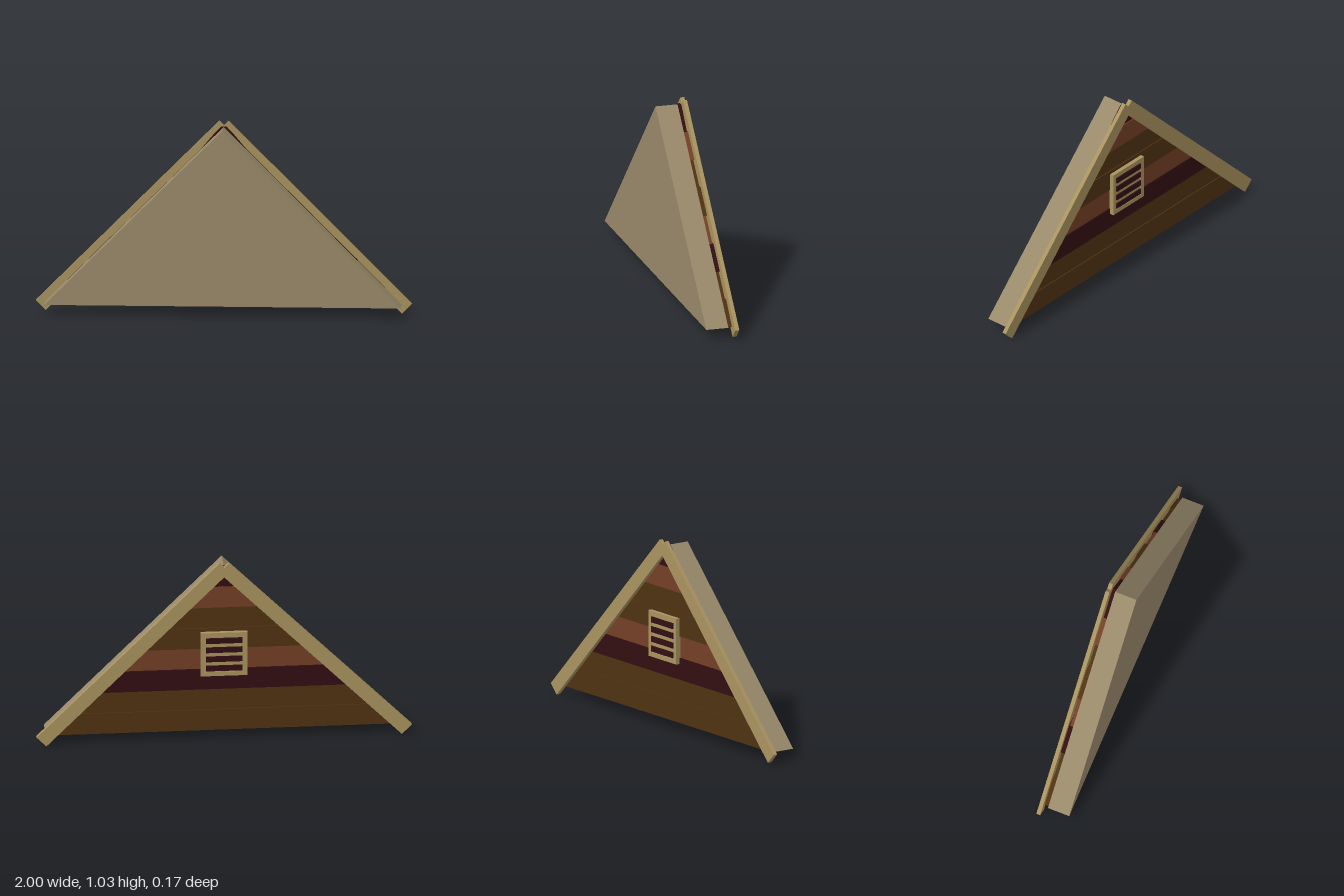
import * as THREE from 'three';

const mat = (name, color) => {
  const m = new THREE.MeshStandardMaterial({ color });
  m.name = name;
  return m;
};

export function createModel() {
  const group = new THREE.Group();
  const wallTan = mat('wall tan', 0x9a8a6b);
  const trimTan = mat('trim tan', 0xa9935f);
  const brown = mat('brown wood', 0x4f3212);
  const red = mat('red brown wood', 0x733f26);
  const dark = mat('dark plum wood', 0x320e12);

  // Extrudes an x/y outline between two z depths
  const slab = (name, points, zBack, zFront, material) => {
    const shape = new THREE.Shape(points.map(([x, y]) => new THREE.Vector2(x, y)));
    const geo = new THREE.ExtrudeGeometry(shape, { depth: zFront - zBack, bevelEnabled: false });
    geo.translate(0, 0, zBack);
    const mesh = new THREE.Mesh(geo, material);
    mesh.name = name;
    group.add(mesh);
  };
  const box = (name, w, h, y, zBack, zFront, material, x = 0) => {
    const mesh = new THREE.Mesh(new THREE.BoxGeometry(w, h, zFront - zBack), material);
    mesh.position.set(x, y, (zBack + zFront) / 2);
    mesh.name = name;
    group.add(mesh);
  };

  // Solid gable body
  const base = 0.053, apex = 1.0, half = 0.947;
  slab('gableBody', [[-half, base], [half, base], [0, apex]], -0.037, 0.085, wallTan);

  // Siding planks, alternately thick and thin, cut to the roof slope
  const colours = [brown, brown, dark, red, brown, brown, red, dark];
  const step = (apex - base) / colours.length;
  colours.forEach((material, i) => {
    const y0 = base + i * step, y1 = y0 + step;
    const w0 = Math.min(apex - y0, 0.935), w1 = apex - y1;
    const outline = i < colours.length - 1
      ? [[-w0, y0], [w0, y0], [w1, y1], [-w1, y1]]
      : [[-w0, y0], [w0, y0], [0.055, 0.957], [0.015, apex], [-0.015, apex], [-0.055, 0.957]];
    slab('sidingPlank', outline, i % 2 ? -0.054 : -0.06, -0.037, material);
  });

  // Sloping rake boards on both sides
  for (const s of [1, -1]) {
    slab('rakeBoard', [[s * 0.947, 0], [s, 0.053], [s * 0.025, 1.028], [s * -0.028, 0.975]],
      -0.082, -0.06, trimTan);
  }

  // Louvred vent: backing, raised border and four dark slats
  box('ventPanel', 0.23, 0.23, 0.5, -0.078, -0.05, trimTan);
  for (const s of [1, -1]) {
    box('ventFrameSide', 0.024, 0.25, 0.5, -0.082, -0.05, trimTan, s * 0.113);
    box('ventFrameRail', 0.202, 0.024, 0.5 + s * 0.113, -0.082, -0.05, trimTan);
  }
  for (let i = 0; i < 4; i++) {
    box('ventSlat', 0.195, 0.031, 0.42 + i * 0.053, -0.085, -0.076, dark);
  }
  return group;
}
